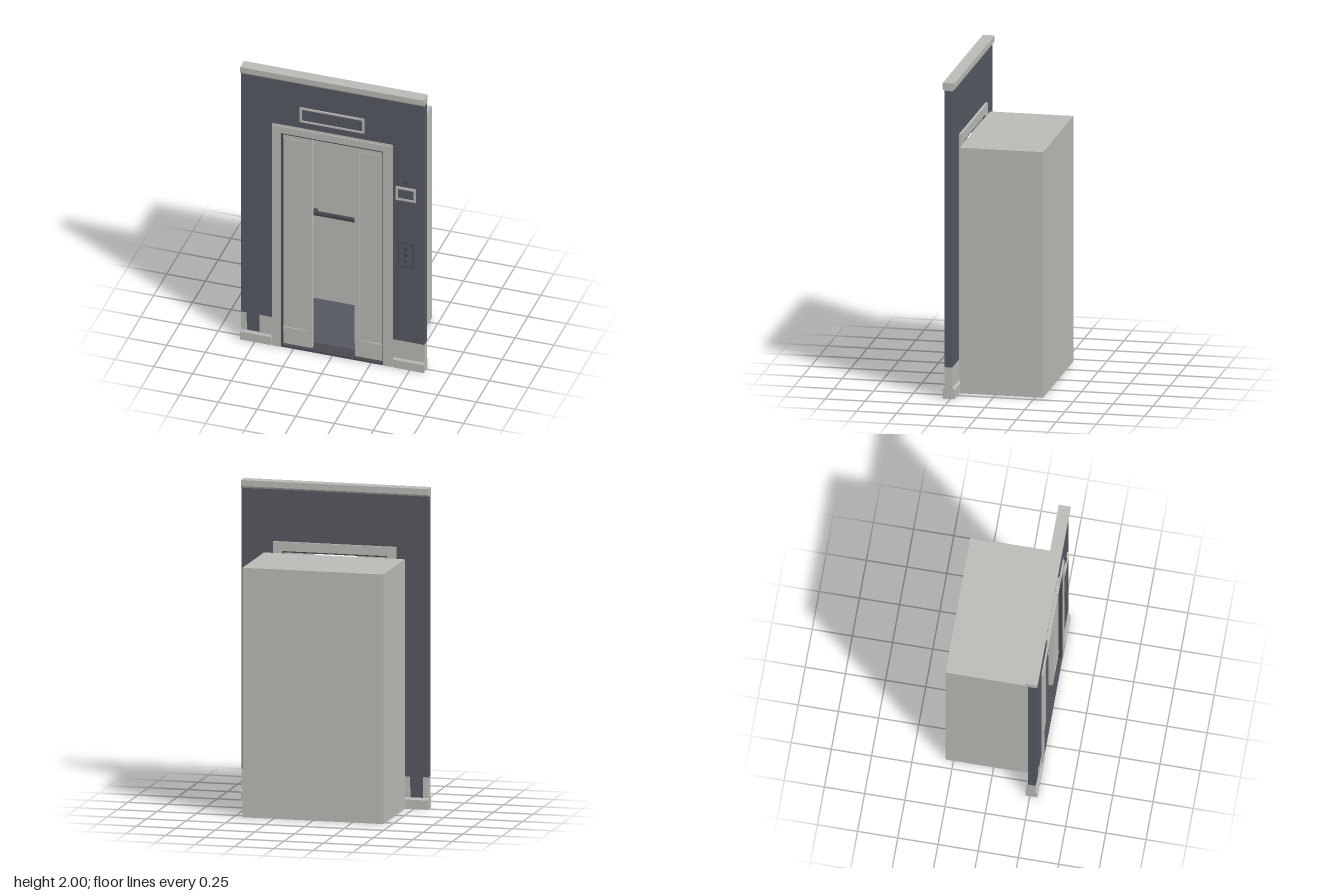
import * as THREE from 'three';

export function createModel() {
  const model = new THREE.Group();
  model.name = 'elevator';
  const mat = (name, color) => {
    const m = new THREE.MeshStandardMaterial({ color });
    m.name = name;
    return m;
  };
  const light = mat('light metal', 0xb9b9b5);
  const dark = mat('slate wall', 0x555860);
  const trim = mat('dark trim', 0x47494f);

  const add = (name, geo, material) => {
    const mesh = new THREE.Mesh(geo, material);
    mesh.name = name;
    model.add(mesh);
    return mesh;
  };
  // Box given by its lower and upper bounds
  const box = (name, m, x0, x1, y0, y1, z0, z1) => {
    const g = new THREE.BoxGeometry(x1 - x0, y1 - y0, z1 - z0);
    g.translate((x0 + x1) / 2, (y0 + y1) / 2, (z0 + z1) / 2);
    return add(name, g, m);
  };
  const poly = (pts) => new THREE.Shape(pts.map((p) => new THREE.Vector2(...p)));
  const rect = (x0, x1, y0, y1) => poly([[x0, y0], [x1, y0], [x1, y1], [x0, y1]]);
  // Flat shape extruded between two depths
  const slab = (name, m, shape, z0, z1) => {
    const g = new THREE.ExtrudeGeometry(shape, { depth: z1 - z0, bevelEnabled: false });
    return add(name, g.translate(0, 0, z0), m);
  };
  // [z, y] profile swept along x
  const molding = (name, m, pts, x0, x1) => {
    const g = new THREE.ExtrudeGeometry(poly(pts), { depth: x1 - x0, bevelEnabled: false });
    return add(name, g.rotateY(-Math.PI / 2).translate(x1, 0, 0), m);
  };
  // Rectangular frame with an even border
  const frame = (name, m, x0, x1, y0, y1, w, z0, z1) => {
    const s = rect(x0, x1, y0, y1);
    s.holes.push(rect(x0 + w, x1 - w, y0 + w, y1 - w));
    return slab(name, m, s, z0, z1);
  };
  // Upside-down U around the doorway
  const arch = (name, m, xo, yo, xi, yi, z0, z1) => slab(name, m, poly([
    [-xo, 0], [-xi, 0], [-xi, yi], [xi, yi], [xi, 0], [xo, 0], [xo, yo], [-xo, yo],
  ]), z0, z1);

  // Wall with doorway and a tall recess
  slab('wall', dark, poly([
    [-0.592, 0.2], [-0.56, 0.2], [-0.56, 1.87], [-0.47, 1.87], [-0.47, 0.2], [-0.385, 0.2],
    [-0.385, 1.615], [0.385, 1.615], [0.385, 0.2], [0.592, 0.2], [0.592, 1.955], [-0.592, 1.955],
  ]), 0.238, 0.286);
  box('recessedStrip', dark, -0.56, -0.47, 0.13, 1.87, 0.242, 0.281);
  box('recessedStripFoot', dark, -0.555, -0.475, 0.065, 0.13, 0.242, 0.281);
  molding('cornice', light, [
    [0.236, 1.95], [0.288, 1.95], [0.297, 1.962], [0.297, 2], [0.223, 2], [0.223, 1.962],
  ], -0.593, 0.593);

  // Base panels and plinths
  [[-0.592, -0.558], [-0.472, -0.385], [0.385, 0.592]].forEach(([a, b]) =>
    box('basePanel', light, a, b, 0.06, 0.2, 0.238, 0.286));
  [[-0.593, -0.393], [0.393, 0.593]].forEach(([a, b]) => molding('plinth', light, [
    [0.223, 0], [0.297, 0], [0.297, 0.058], [0.288, 0.07], [0.236, 0.07], [0.223, 0.058],
  ], a, b));

  // Door surround
  arch('doorSurround', light, 0.39, 1.627, 0.33, 1.57, 0.222, 0.29);
  arch('doorSurroundFace', light, 0.38, 1.617, 0.33, 1.57, 0.29, 0.296);
  arch('doorLiner', trim, 0.33, 1.57, 0.324, 1.562, 0.225, 0.293);
  box('sill', trim, -0.33, 0.33, 0, 0.012, 0.2, 0.293);

  // Half-open sliding doors with raised molding
  for (const s of [-1, 1]) {
    const part = (name, a, b, y0, y1, z0, z1) =>
      box(name, light, Math.min(s * a, s * b), Math.max(s * a, s * b), y0, y1, z0, z1);
    part('slidingDoor', 0.138, 0.324, 0.012, 1.56, 0.24, 0.266);
    part('doorMoldingSide', 0.138, 0.167, 0.11, 1.55, 0.266, 0.271);
    part('doorMoldingBottom', 0.167, 0.324, 0.11, 0.135, 0.266, 0.271);
    part('doorMoldingTop', 0.167, 0.324, 1.525, 1.55, 0.266, 0.271);
    part('doorPanel', 0.175, 0.324, 0.143, 1.517, 0.266, 0.269);
  }

  // Car: open at the front, walls around a dark floor
  box('carBackWall', light, -0.446, 0.446, 0, 1.556, -0.3, -0.268);
  box('carLeftWall', light, 0.414, 0.446, 0, 1.556, -0.268, 0.22);
  box('carRightWall', light, -0.446, -0.414, 0, 1.556, -0.268, 0.22);
  box('carCeiling', light, -0.414, 0.414, 1.525, 1.556, -0.268, 0.222);
  box('carFloor', dark, -0.414, 0.414, 0.002, 0.012, -0.268, 0.2);
  box('handrail', trim, -0.33, 0.33, 0.655, 0.677, -0.236, -0.215);
  for (const x of [-0.29, 0, 0.29])
    box('handrailBracket', trim, x - 0.012, x + 0.012, 0.658, 0.672, -0.268, -0.236);

  // Sign above the door
  frame('signFrame', light, -0.21, 0.205, 1.675, 1.78, 0.012, 0.286, 0.295);
  box('signPanel', dark, -0.198, 0.193, 1.687, 1.768, 0.286, 0.289);

  // Floor display with arrow
  frame('displayFrame', light, 0.41, 0.54, 1.235, 1.33, 0.014, 0.286, 0.295);
  box('displayPanel', dark, 0.424, 0.526, 1.249, 1.316, 0.286, 0.29);
  slab('arrow', trim, poly([[0.46, 1.358], [0.49, 1.358], [0.475, 1.387]]), 0.286, 0.294);

  // Call button plate
  frame('callPlateRim', trim, 0.424, 0.526, 0.75, 0.93, 0.007, 0.286, 0.294);
  box('callPlate', dark, 0.431, 0.519, 0.757, 0.923, 0.286, 0.291);
  for (const y of [0.885, 0.84, 0.793]) {
    const g = new THREE.CylinderGeometry(0.014, 0.014, 0.006, 20).rotateX(Math.PI / 2);
    add('callButton', g.translate(0.475, y, 0.293), trim);
  }
  return model;
}
